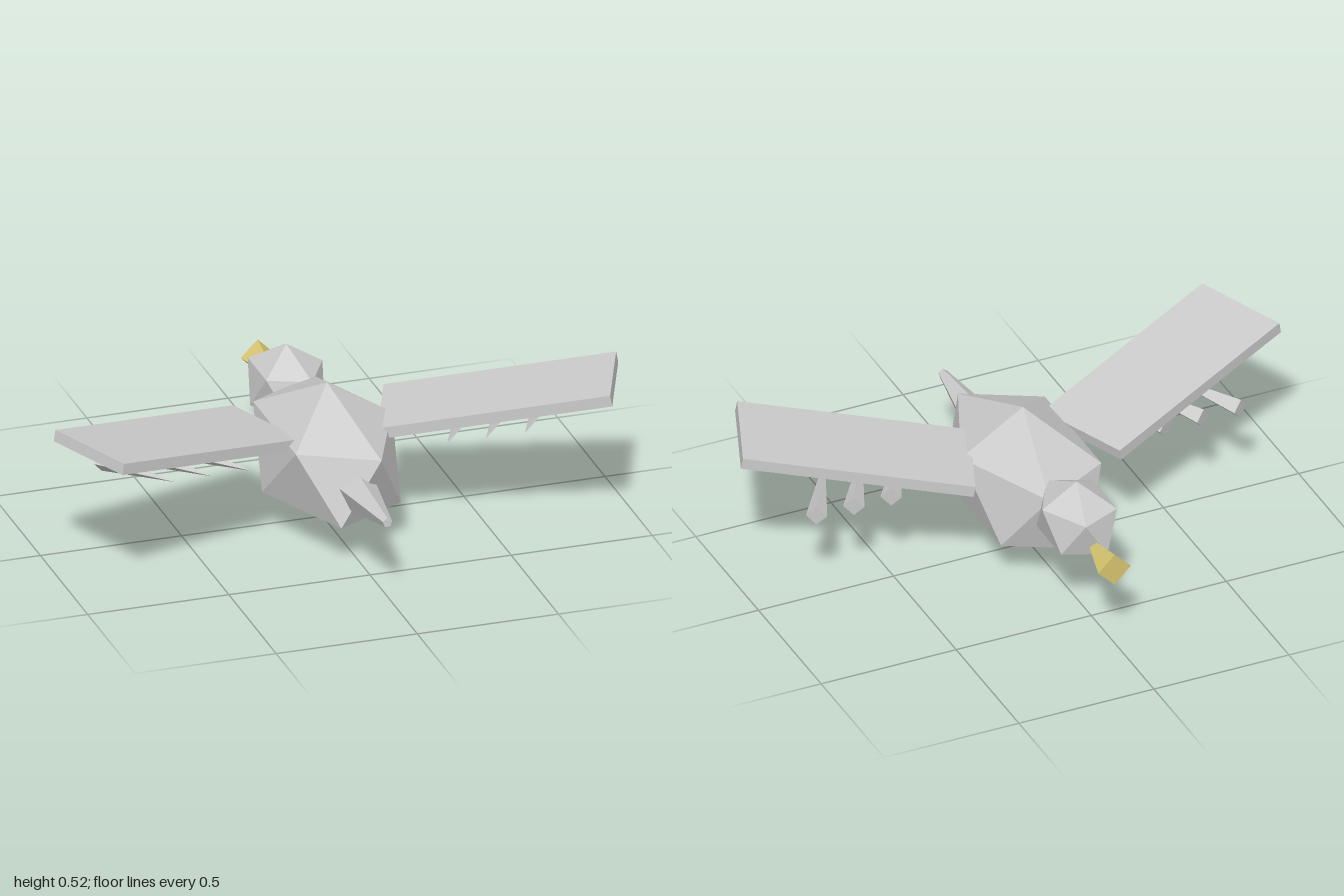
import * as THREE from 'three';

const plain = new THREE.MeshStandardMaterial({ color: 0xcccccc, flatShading: true });
const yellow = new THREE.MeshStandardMaterial({ color: 0xd9c770, flatShading: true });

function part(name, geometry, material = plain) {
  const mesh = new THREE.Mesh(geometry, material);
  mesh.name = name;
  return mesh;
}

// Icosahedron standing on a corner, stretched along z
function gem(name, radius, stretch, y, z) {
  const golden = (1 + Math.sqrt(5)) / 2;
  const geometry = new THREE.IcosahedronGeometry(radius, 0);
  geometry.rotateZ(-Math.atan(1 / golden));
  geometry.scale(1, 1, stretch);
  geometry.translate(0, y, z);
  return part(name, geometry);
}

// Tapered rod from a to b; one corner of its cross-section points up
function taper(name, a, b, radiusA, radiusB, sides, material) {
  const from = new THREE.Vector3(...a), to = new THREE.Vector3(...b);
  const geometry = new THREE.CylinderGeometry(radiusB, radiusA, from.distanceTo(to), sides);
  geometry.rotateY(Math.PI);
  geometry.rotateX(Math.PI / 2);
  const mesh = part(name, geometry, material);
  mesh.position.copy(from).lerp(to, 0.5);
  mesh.lookAt(to);
  return mesh;
}

export function createModel() {
  const model = new THREE.Group();
  model.name = 'bird';

  // Body and head
  model.add(gem('body', 0.257, 1.67, 0.258, 0.045));
  model.add(gem('head', 0.143, 1.31, 0.327, -0.385));

  // Beak flares towards its blunt end; tail narrows
  model.add(taper('beak', [0, 0.295, -0.5], [0, 0.295, -0.687], 0.012, 0.06, 4, yellow));
  model.add(taper('tail', [0, 0.252, 0.375], [0, 0.274, 0.685], 0.068, 0.017, 5));

  for (const side of [1, -1]) {
    const label = side > 0 ? 'left' : 'right';

    // Wing slab, swept back and raised at the tip
    const wing = part(label + 'Wing', new THREE.BoxGeometry(0.795, 0.04, 0.357));
    wing.position.set(side * 0.567, 0.434, 0.16);
    wing.rotation.set(0, -side * 0.38, side * 0.178);
    model.add(wing);

    // Spikes under the wing, pointing back and inwards
    for (let i = 0; i < 3; i++) {
      const x = 0.785 - i * 0.138;
      model.add(taper(label + 'Feather' + (i + 1),
        [side * x, 0.32, 0], [side * (x - 0.165), 0.342, 0.287], 0.036, 0, 4));
    }
  }
  return model;
}
